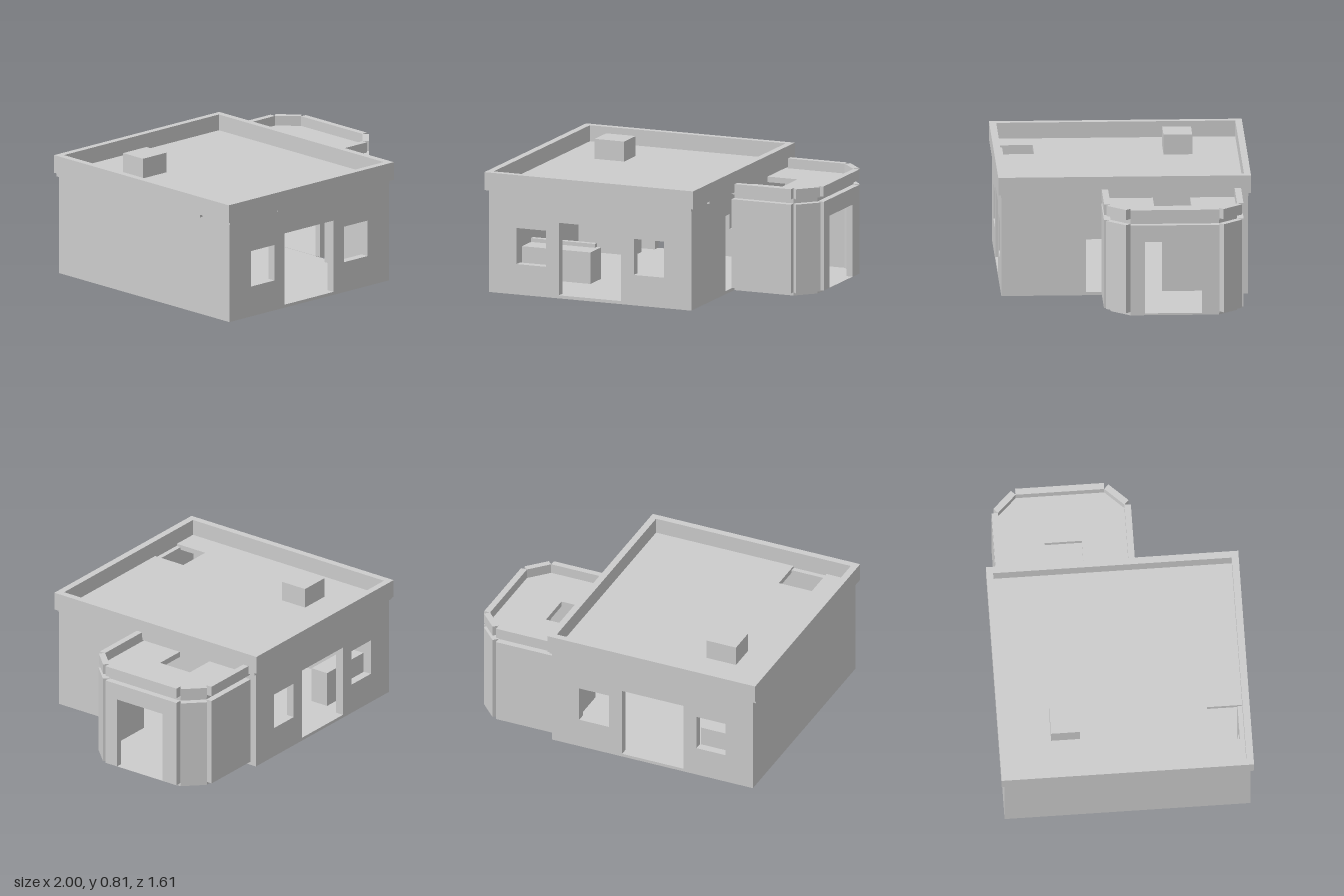
import * as THREE from 'three';

const stone = new THREE.MeshStandardMaterial({ color: 0xcccccc });
stone.name = 'pale grey';

// Closed path from corner points
function trace(path, pts) {
  pts.forEach(([a, b], i) => (i ? path.lineTo(a, b) : path.moveTo(a, b)));
  path.closePath();
  return path;
}
// Counter-clockwise rectangle
const rect = (a0, b0, a1, b1) => [[a0, b0], [a1, b0], [a1, b1], [a0, b1]];

function extrude(outline, holes, depth) {
  const shape = trace(new THREE.Shape(), outline);
  holes.forEach((h) => shape.holes.push(trace(new THREE.Path(), h)));
  return new THREE.ExtrudeGeometry(shape, { depth, bevelEnabled: false });
}

export function createModel() {
  const model = new THREE.Group();
  const add = (name, geometry) => {
    const mesh = new THREE.Mesh(geometry, stone);
    mesh.name = name;
    model.add(mesh);
    return mesh;
  };

  // Upright panel along a plan line; thickness grows to the outside.
  // Openings are [u0, y0, u1, y1], u measured from the start of the line.
  function wall(name, [x0, z0], [x1, z1], y0, y1, t, openings = []) {
    const length = Math.hypot(x1 - x0, z1 - z0);
    const mesh = add(name, extrude(rect(0, y0, length, y1), openings.map((o) => rect(...o)), t));
    mesh.position.set(x0, 0, z0);
    mesh.rotation.y = Math.atan2(z0 - z1, x1 - x0);
  }

  // Horizontal plate from [x, z] outlines, hung down from its top
  function slab(name, outline, y0, y1, holes = []) {
    const mesh = add(name, extrude(outline, holes, y1 - y0));
    mesh.rotation.x = Math.PI / 2;
    mesh.position.y = y1;
  }

  function box(name, x0, x1, y0, y1, z0, z1) {
    add(name, new THREE.BoxGeometry(x1 - x0, y1 - y0, z1 - z0))
      .position.set((x0 + x1) / 2, (y0 + y1) / 2, (z0 + z1) / 2);
  }

  // Main house: floor and four walls, front and back share the same openings
  const L = -0.975, R = 0.43, D = 0.785, T = 0.055, H = 0.663;
  const openings = [
    [-0.785, 0.198, -0.58, 0.433],
    [-0.49, 0.02, -0.06, 0.492],
    [0.03, 0.198, 0.24, 0.433],
  ];
  slab('houseFloor', rect(L + T, T - D, R - T, D - T), 0, 0.02);
  wall('frontWall', [L, D - T], [R, D - T], 0, H, T,
    openings.map(([a, b, c, d]) => [a - L, b, c - L, d]));
  wall('backWall', [R, T - D], [L, T - D], 0, H, T,
    openings.map(([a, b, c, d]) => [R - c, b, R - a, d]));
  wall('leftWall', [R - T, D - T], [R - T, T - D], 0, H, T,
    [[D - T - 0.245, 0.02, D - T + 0.24, 0.51]]);
  wall('rightWall', [L + T, T - D], [L + T, D - T], 0, H, T);

  // Roof plates leaving a hatch at the front
  slab('houseRoof', rect(-0.998, -0.788, 0.448, 0.535), 0.645, 0.678);
  slab('roofBesideHatchRight', rect(L, 0.535, -0.785, 0.788), 0.645, 0.678);
  slab('roofBesideHatchLeft', rect(-0.555, 0.535, R, 0.788), 0.645, 0.678);

  // Overhanging parapet and roof box
  slab('houseParapet', rect(-1, -0.805, 0.451, 0.805), 0.665, 0.782,
    [rect(-0.955, -0.762, 0.407, 0.76)]);
  box('roofBox', -0.713, -0.508, 0.67, 0.808, -0.47, -0.287);

  // Counters inside
  box('frontCounter', -0.92, -0.445, 0.02, 0.225, 0.22, 0.39);
  box('counterSplashback', -0.92, -0.475, 0.225, 0.25, 0.215, 0.25);
  box('backCounter', -0.92, -0.537, 0.02, 0.25, -0.624, -0.5);

  // Side bay: chamfered floor, and a roof notched against the house
  const bay = [[R, -0.7], [0.842, -0.7], [0.957, -0.58], [0.957, -0.015], [0.842, 0.106], [R, 0.106]];
  const notch = [[R, -0.18], [0.64, -0.18], [0.64, -0.417], [R, -0.417]];
  slab('bayFloor', bay, 0, 0.022);
  slab('bayRoof', [...bay, ...notch], 0.6, 0.636);

  // Bay wall and parapet panels, one for each outer side
  const sides = ['Back', 'BackCorner', 'Side', 'FrontCorner', 'Front'];
  sides.forEach((side, i) => {
    const holes = side === 'Side' ? [[0.093, 0.023, 0.455, 0.492]] : [];
    wall('bayWall' + side, bay[i + 1], bay[i], 0.022, 0.6, 0.042, holes);
    wall('bayParapet' + side, bay[i + 1], bay[i], 0.633, 0.7, 0.041);
  });

  return model;
}
